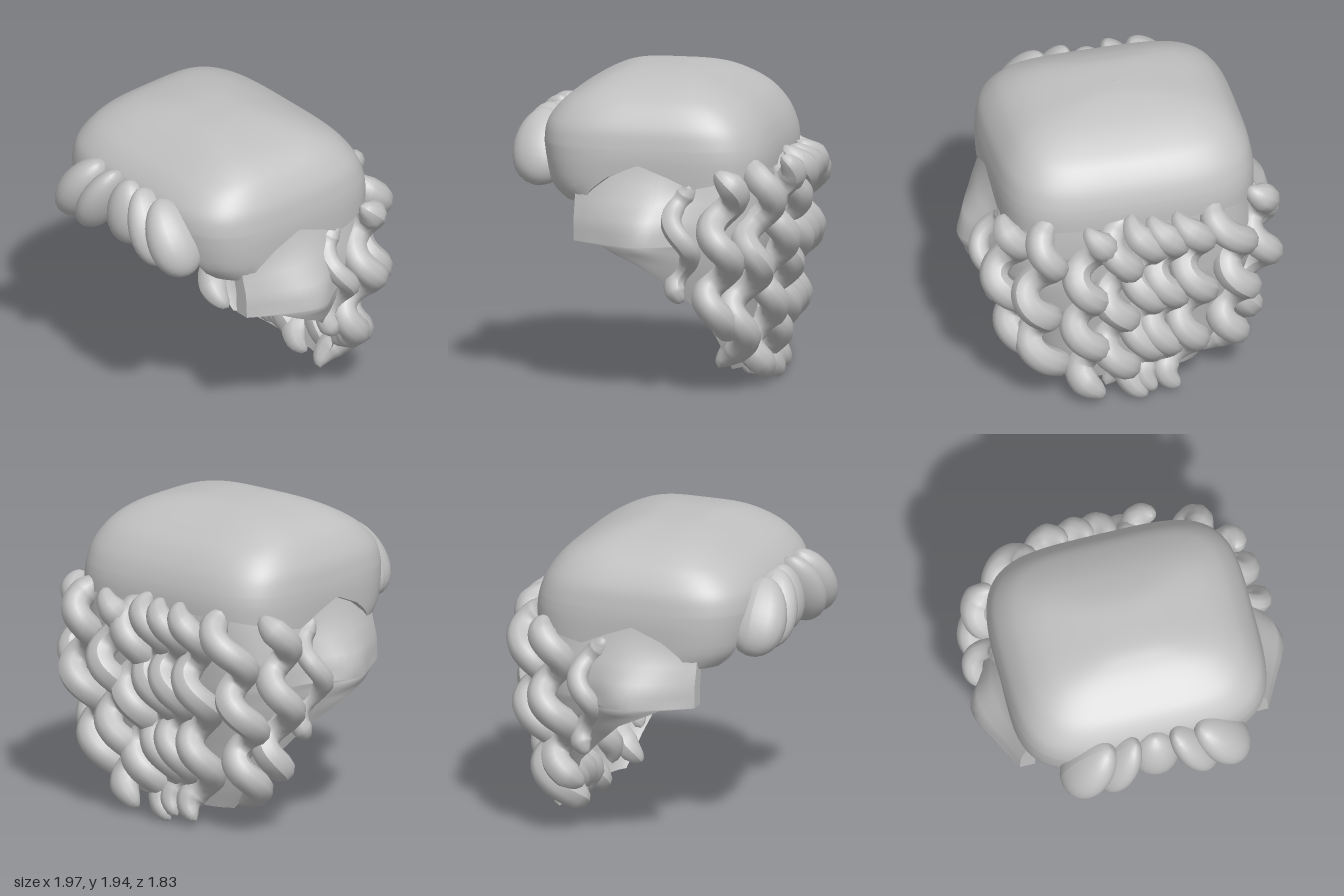
import * as THREE from 'three';

const hair = new THREE.MeshStandardMaterial({ color: 0xc0c0c0, side: THREE.DoubleSide });
hair.name = 'plain grey';

// Linear look-up in rows of [y descending, value, value...]
function sample(rows, y) {
  if (y >= rows[0][0]) return rows[0];
  for (let i = 1; i < rows.length; i++) {
    if (y >= rows[i][0]) {
      const a = rows[i - 1], b = rows[i], t = (a[0] - y) / (a[0] - b[0]);
      return a.map((v, k) => v + (b[k] - v) * t);
    }
  }
  return rows[rows.length - 1];
}

// Rows refined along a smooth curve
function smooth(rows, count) {
  const curves = [1, 2, 3].map((k) => new THREE.SplineCurve(rows.map((r) => new THREE.Vector2(r[k], r[0]))));
  return Array.from({ length: count + 1 }, (_, i) => {
    const p = curves.map((c) => c.getPoint(i / count));
    return [p[0].y, p[0].x, p[1].x, p[2].x];
  });
}

// Rounded-square section: angle 0 is +x, PI/2 is the back
function squircle(b, w, front, back) {
  const c = Math.cos(b), s = Math.sin(b), k = (c ** 4 + s ** 4) ** -0.25;
  return [w * c * k, -(s > 0 ? back : front) * s * k];
}

// Skin over rows of points
function loft(rows, closed = false) {
  const n = rows[0].length, index = [];
  for (let r = 0; r < rows.length - 1; r++) {
    for (let c = 0; c < (closed ? n : n - 1); c++) {
      const d = (c + 1) % n, p = r * n, q = p + n;
      index.push(p + c, q + c, p + d, p + d, q + c, q + d);
    }
  }
  const g = new THREE.BufferGeometry().setFromPoints(rows.flat());
  g.setIndex(index);
  g.computeVertexNormals();
  return g;
}

// Cap sections: y, half width, front depth, back depth
const CAP = smooth([
  [1.95, 0.001, 0.001, 0.001], [1.945, 0.18, 0.19, 0.12], [1.92, 0.37, 0.3, 0.24], [1.88, 0.53, 0.4, 0.36],
  [1.82, 0.64, 0.51, 0.48], [1.75, 0.71, 0.61, 0.58], [1.65, 0.77, 0.69, 0.66], [1.55, 0.795, 0.715, 0.705],
  [1.45, 0.805, 0.71, 0.725], [1.3, 0.8, 0.68, 0.725], [1.23, 0.79, 0.64, 0.72], [1.17, 0.775, 0.57, 0.72],
], 55);
// Lower hem of the cap along the sides: descending z, y
const HEM = [[0.37, 1.2], [0.3, 1.27], [0.2, 1.35], [0.03, 1.43], [-0.15, 1.36], [-0.3, 1.29], [-0.5, 1.33], [-0.7, 1.38]];

function hemHeight(x, z) {
  if (z < 0.37) return sample(HEM, z)[1];
  return 1.38 - 0.2 * THREE.MathUtils.clamp((Math.abs(x) - 0.5) / 0.09, 0, 1);
}

// Under layer: y, half width, side bulge, back depth, z of the front edge
const SHELL = [
  [1.5, 0.73, 0, 0.69, 0.44], [1.3, 0.765, 0.02, 0.715, 0.44], [1.2, 0.78, 0.07, 0.71, 0.44],
  [1.1, 0.805, 0.14, 0.705, 0.44], [0.95, 0.81, 0.175, 0.69, 0.44], [0.94, 0.81, 0.175, 0.69, 0.25],
  [0.83, 0.79, 0.15, 0.675, 0], [0.65, 0.74, 0.08, 0.64, -0.2], [0.5, 0.69, 0.03, 0.61, -0.35],
  [0.3, 0.62, 0, 0.58, -0.43], [0.12, 0.5, 0, 0.54, -0.47],
];
const SHELL_FRONT = 0.68;

function shellPoint(b, y) {
  const [, w, bulge, back] = sample(SHELL, y);
  const [x, z] = squircle(b, w, SHELL_FRONT, back);
  const swell = bulge * Math.abs(x) / w * Math.exp(-((z / (z > 0 ? 0.28 : 0.2)) ** 2));
  return new THREE.Vector3(x + Math.sign(x) * swell, y, z);
}

function shellRow(y) {
  const [, , , back, edge] = sample(SHELL, y);
  const g = edge / (edge > 0 ? SHELL_FRONT : back);
  const b0 = -Math.atan2(g, (1 - g ** 4) ** 0.25);
  return Array.from({ length: 65 }, (_, i) => shellPoint(b0 + (Math.PI - 2 * b0) * i / 64, y));
}

// Blunt-ended ringlet that winds down the under layer.
// f0, f1: sideways position as a share of the half width; yIn: a height where it turns inward
function ringlet({ f0, f1, top, bottom, yIn, coil = 0.07, radius = 0.09, out = 0.055 }) {
  const pts = [];
  for (let i = 0; i <= 44; i++) {
    const t = i / 44, y = top + (bottom - top) * t, f = f0 + (f1 - f0) * t;
    const b = Math.atan2((1 - f ** 4) ** 0.25, f);
    const p = shellPoint(b, y);
    const n = new THREE.Vector3(Math.cos(b) ** 3, 0, -(Math.sin(b) ** 3)).normalize();
    const side = new THREE.Vector3(n.z, 0, -n.x);
    const phi = (yIn - y) / 0.42 * Math.PI * 2 + Math.PI;
    p.addScaledVector(n, out + coil * Math.cos(phi)).addScaledVector(side, coil * Math.sin(phi));
    pts.push(p);
  }
  const curve = new THREE.CatmullRomCurve3(pts);
  const segs = 90, sides = 10;
  const g = new THREE.TubeGeometry(curve, segs, radius, sides);
  const pos = g.attributes.position, v = new THREE.Vector3();
  for (let i = 0; i <= segs; i++) {
    const t = i / segs, centre = curve.getPointAt(t);
    const k = Math.sqrt(Math.min(1, Math.max(0.0001, 4 * Math.sin(Math.PI * t))));
    for (let j = 0; j <= sides; j++) {
      const id = i * (sides + 1) + j;
      v.fromBufferAttribute(pos, id).sub(centre).multiplyScalar(k).add(centre);
      pos.setXYZ(id, v.x, v.y, v.z);
    }
  }
  g.computeVertexNormals();
  return g;
}

// Fringe lock: a ball stretched from a narrow top to a fuller lower end
function lock(x0, y0, x1, y1, width, depth, z) {
  const g = new THREE.SphereGeometry(1, 20, 14);
  const pos = g.attributes.position;
  const length = Math.hypot(x1 - x0, y1 - y0);
  for (let i = 0; i < pos.count; i++) {
    const y = pos.getY(i), k = 1 - 0.12 * y;
    pos.setXYZ(i, pos.getX(i) * width / 2 * k, y * length / 2, pos.getZ(i) * depth * k);
  }
  g.rotateZ(Math.atan2(x1 - x0, y0 - y1));
  g.translate((x0 + x1) / 2, (y0 + y1) / 2, z);
  g.computeVertexNormals();
  return g;
}

export function createModel() {
  const group = new THREE.Group();
  const add = (name, geometry) => {
    const mesh = new THREE.Mesh(geometry, hair);
    mesh.name = name;
    group.add(mesh);
  };

  // Smooth cap with a shaped hem
  const angles = Array.from({ length: 160 }, (_, i) => i / 160 * Math.PI * 2);
  const capPoint = (b, y) => {
    const [, w, front, back] = sample(CAP, y);
    const [x, z] = squircle(b, w, front, back);
    return new THREE.Vector3(x, y, z);
  };
  const hem = angles.map((b) => {
    const p = capPoint(b, 1.2);
    return hemHeight(p.x, p.z);
  });
  const capRows = CAP.filter((r) => r[0] > 1.5).map((r) => angles.map((b) => capPoint(b, r[0])));
  for (let k = 1; k <= 6; k++) {
    capRows.push(angles.map((b, i) => capPoint(b, 1.5 - (1.5 - hem[i]) * k / 6)));
  }
  add('cap', loft(capRows, true));

  // Turned-in lip under the hem
  const inset = (p, lift) => new THREE.Vector3(p.x * 0.94, p.y + lift, p.z * 0.94);
  const edge = capRows[capRows.length - 1];
  add('capLip', loft([edge, edge.map((p) => inset(p, 0)), edge.map((p) => inset(p, 0.1))], true));

  // Under layer round the sides and nape
  const heights = [1.5, 1.4, 1.3, 1.2, 1.1, 1.02, 0.95, 0.94, 0.9, 0.83, 0.74, 0.65, 0.57, 0.5, 0.4, 0.3, 0.2, 0.12];
  add('underLayer', loft(heights.map(shellRow)));

  // Lining that leans inward towards the top, with its front rims and ledge
  const outer = heights.slice(0, 7).map(shellRow);
  const inner = outer.map((row) => row.map((p) => (
    new THREE.Vector3(p.x * 0.88, p.y, p.z < 0 ? p.z * (0.93 - (p.y - 0.95) * 0.4) : p.z))));
  add('lining', loft(inner));
  add('liningLedge', loft([outer[6], inner[6]]));
  for (const [name, c] of [['leftRim', 0], ['rightRim', 64]]) {
    add(name, loft(outer.map((row, r) => [row[c], inner[r][c]])));
  }

  // Ringlets across the back
  [
    [-0.65, -0.87, 1.46, 0.14, 0.58], [-0.38, -0.45, 1.45, 0.05, 0.7], [-0.17, -0.2, 1.45, 0.06, 0.7],
    [0, -0.04, 1.46, 0.02, 0.68], [0.17, 0.25, 1.45, 0.06, 0.55], [0.39, 0.52, 1.45, 0.05, 0.74],
    [0.7, 0.87, 1.46, 0.14, 0.62],
  ].forEach(([f0, f1, top, bottom, yIn]) => add('backRinglet', ringlet({ f0, f1, top, bottom, yIn })));

  // Ringlets down both sides
  for (const s of [-1, 1]) {
    add('sideRinglet', ringlet({
      f0: 0.94 * s, f1: 0.94 * s, top: 1.41, bottom: 0.34, yIn: s < 0 ? 0.66 : 0.72, out: 0.045,
    }));
    add('frontSideRinglet', ringlet({
      f0: 0.9975 * s, f1: 0.994 * s, top: 1.33, bottom: 0.59, yIn: 0.8, coil: 0.055, radius: 0.065, out: 0.02,
    }));
  }

  // Fringe
  add('middleFringeLock', lock(0, 1.68, 0, 1.25, 0.3, 0.14, 0.71));
  for (const s of [-1, 1]) {
    add('innerFringeLock', lock(0.12 * s, 1.69, 0.35 * s, 1.24, 0.22, 0.17, 0.73));
    add('outerFringeLock', lock(0.28 * s, 1.68, 0.55 * s, 1.25, 0.27, 0.18, 0.72));
  }
  return group;
}
